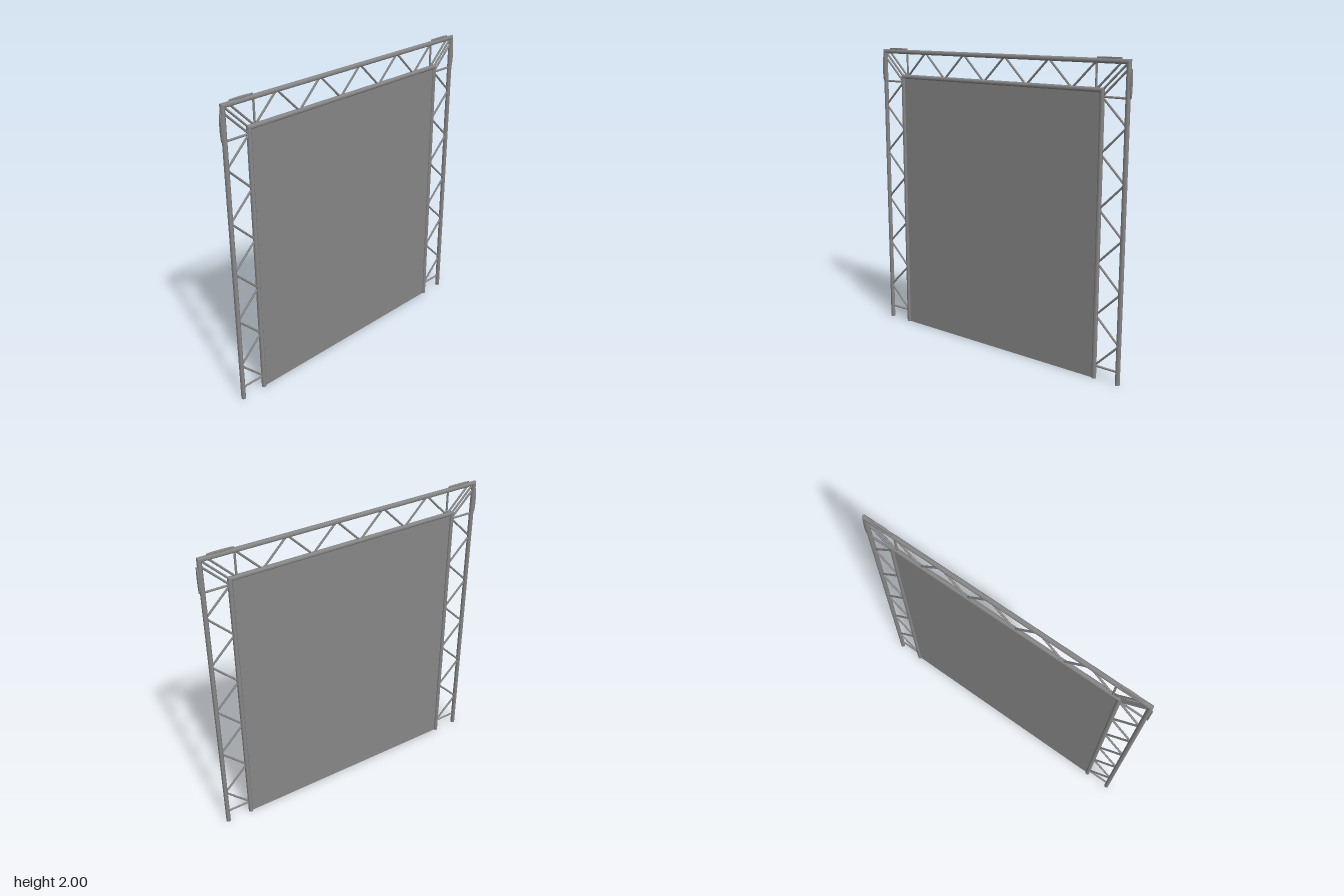
import * as THREE from 'three';
import { toCreasedNormals } from 'three/addons/utils/BufferGeometryUtils.js';

const SIDES = 12;
const TUBE = 0.015;    // main tube radius
const BRACE = 0.0068;  // lattice rod radius
const OUT = { x: 0.97, y: 1.977 };  // outer frame centre lines
const INN = { x: 0.8, y: 1.808 };   // inner frame centre lines
const STEP = 0.1685;   // lattice spacing
const BASE = 0.085;    // lowest lattice node

const metal = new THREE.MeshStandardMaterial({ color: 0x868686 });

function add(parent, name, geometry) {
  const mesh = new THREE.Mesh(geometry, metal);
  mesh.name = name;
  parent.add(mesh);
  return mesh;
}

// Round rod between two points in the plane z = 0
function rod(parent, name, x1, y1, x2, y2) {
  const length = Math.hypot(x2 - x1, y2 - y1);
  const mesh = add(parent, name, new THREE.CylinderGeometry(BRACE, BRACE, length, SIDES));
  mesh.position.set((x1 + x2) / 2, (y1 + y2) / 2, 0);
  mesh.rotation.z = -Math.atan2(x2 - x1, y2 - y1);
}

// Slim oval plate lying on the outer face of a tube
function plate(parent, name, x, y, angle) {
  const geometry = new THREE.CylinderGeometry(1, 1, 0.015, 20).scale(STEP / 2, 1, 0.009);
  const mesh = add(parent, name, geometry);
  mesh.position.set(x, y, 0);
  mesh.rotation.z = angle;
}

// U-shaped tube with mitred corners and closed feet
function archTube({ x, y }) {
  // centre x, centre y, outward x, outward y, open (all zero closes an end)
  const rings = [
    [-x, 0, 0, 0, 0], [-x, 0, -1, 0, 1], [-x, y, -1, 1, 1],
    [x, y, 1, 1, 1], [x, 0, 1, 0, 1], [x, 0, 0, 0, 0],
  ];
  const positions = [];
  const index = [];
  rings.forEach(([cx, cy, ox, oy, open], j) => {
    for (let i = 0; i < SIDES; i++) {
      const a = (i / SIDES) * Math.PI * 2;
      const c = Math.cos(a) * TUBE;
      positions.push(cx + ox * c, cy + oy * c, open * Math.sin(a) * TUBE);
      if (j === rings.length - 1) continue;
      const p = j * SIDES + i;
      const q = j * SIDES + ((i + 1) % SIDES);
      if (j > 0) index.push(p, q, p + SIDES);
      if (j < rings.length - 2) index.push(q, q + SIDES, p + SIDES);
    }
  });
  const geometry = new THREE.BufferGeometry();
  geometry.setAttribute('position', new THREE.Float32BufferAttribute(positions, 3));
  geometry.setIndex(index);
  return toCreasedNormals(geometry, 0.6);
}

export function createModel() {
  const model = new THREE.Group();
  model.name = 'trussBackdrop';

  // Two nested arches and the panel filling the inner one
  add(model, 'outerFrame', archTube(OUT));
  add(model, 'innerFrame', archTube(INN));
  const panel = add(model, 'panel', new THREE.BoxGeometry(INN.x * 2, INN.y, 0.005));
  panel.position.y = INN.y / 2;

  const cornerX = 0.757;
  const top = BASE + 10 * STEP;
  for (const s of [-1, 1]) {
    const side = new THREE.Group();
    side.name = s > 0 ? 'leftTower' : 'rightTower';
    model.add(side);

    // Tower lattice
    for (let k = 0; k < 10; k++) {
      const [from, to] = k % 2 ? [OUT.x, INN.x] : [INN.x, OUT.x];
      rod(side, 'towerBrace', s * from, BASE + k * STEP, s * to, BASE + (k + 1) * STEP);
    }
    for (const y of [BASE, top]) rod(side, 'towerRung', s * INN.x, y, s * OUT.x, y);

    // Corner bracing
    rod(side, 'cornerPost', s * cornerX, INN.y, s * cornerX, OUT.y);
    rod(side, 'cornerBrace', s * INN.x, INN.y, s * OUT.x, OUT.y);
    rod(side, 'cornerBrace', s * cornerX, INN.y, s * (cornerX + STEP), OUT.y);
    rod(side, 'cornerBrace', s * INN.x, top, s * OUT.x, top + STEP);

    // Coupling plates on the outer faces of the corner
    plate(side, 'topCoupler', s * (cornerX + STEP / 2), 1.9925, 0);
    plate(side, 'sideCoupler', s * 0.9845, top + STEP / 2, Math.PI / 2);
  }

  // Top beam lattice
  const beam = new THREE.Group();
  beam.name = 'topLattice';
  model.add(beam);
  const pitch = (cornerX * 2) / 9;
  for (let k = 0; k < 9; k++) {
    const [from, to] = k % 2 ? [OUT.y, INN.y] : [INN.y, OUT.y];
    rod(beam, 'beamBrace', -cornerX + k * pitch, from, -cornerX + (k + 1) * pitch, to);
  }

  return model;
}
